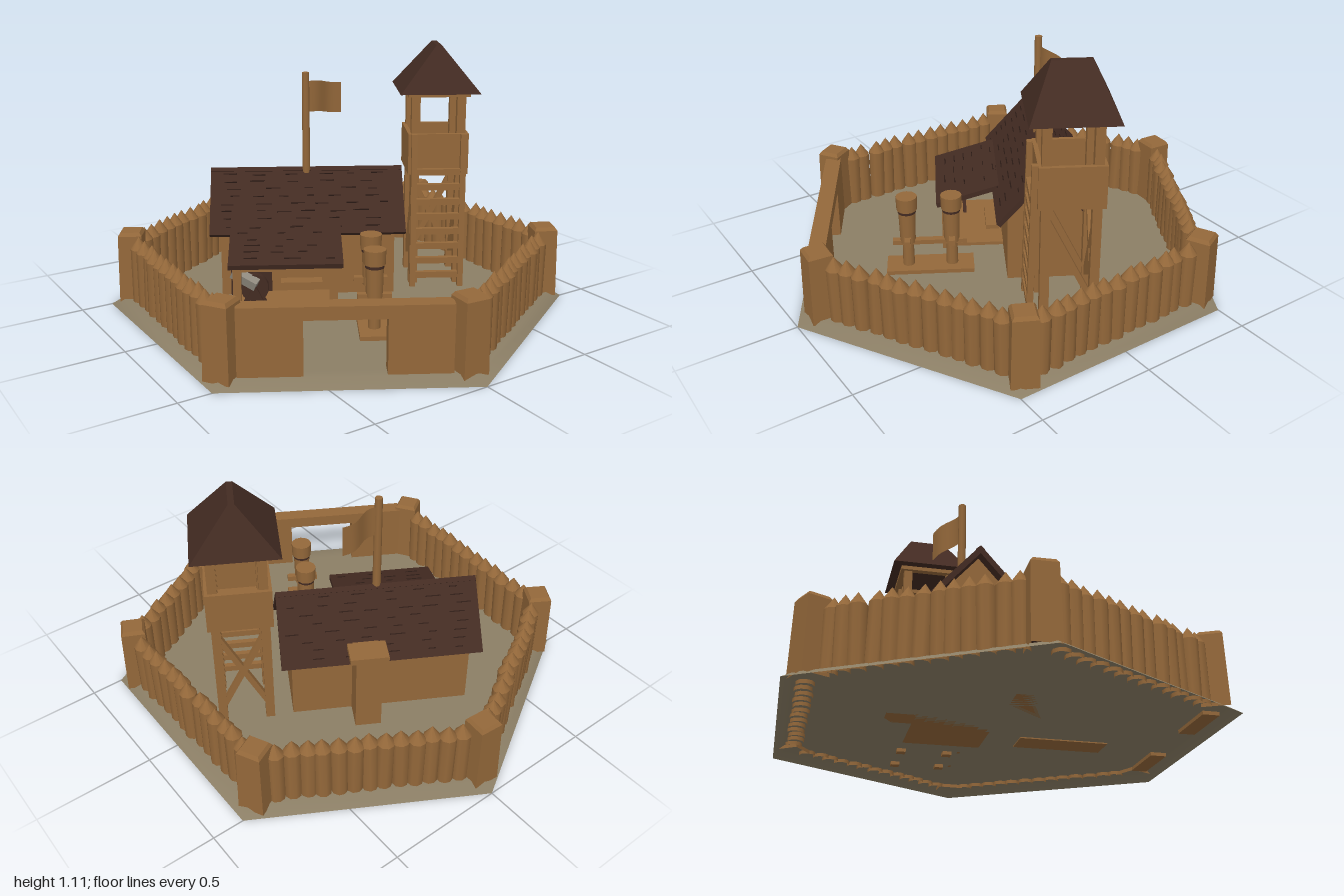
import * as THREE from 'three';
import { mergeGeometries } from 'three/addons/utils/BufferGeometryUtils.js';

const material = (name, color, extra = {}) => {
  const m = new THREE.MeshStandardMaterial({ color, ...extra });
  m.name = name;
  return m;
};

export function createModel() {
  const wood = material('wood', 0x94683a);
  const cloth = material('cloth', 0x94683a, { side: THREE.DoubleSide });
  const roofing = material('roofing', 0x432b22);
  const gap = material('shingleGap', 0x2d1c16);
  const earth = material('earth', 0x8b7e65, { side: THREE.DoubleSide });
  const stone = material('stone', 0x918b80);

  let seed = 7;
  const rnd = () => (seed = (seed * 16807) % 2147483647) / 2147483647;
  const jitter = (a) => (rnd() - 0.5) * 2 * a;

  const model = new THREE.Group();
  model.name = 'fort';
  const group = (name, x, z, ry) => {
    const g = new THREE.Group();
    g.name = name;
    g.position.set(x, 0, z);
    g.rotation.y = ry;
    model.add(g);
    return g;
  };
  const add = (parent, name, geo, mat, x = 0, y = 0, z = 0) => {
    const m = new THREE.Mesh(geo, mat);
    m.name = name;
    m.position.set(x, y, z);
    parent.add(m);
    return m;
  };
  const flat = (geo) => {
    const g = geo.toNonIndexed();
    g.computeVertexNormals();
    return g;
  };
  // box given by its lower and upper limits
  const box = (parent, name, mat, x0, x1, y0, y1, z0, z1) =>
    add(parent, name, new THREE.BoxGeometry(x1 - x0, y1 - y0, z1 - z0), mat,
      (x0 + x1) / 2, (y0 + y1) / 2, (z0 + z1) / 2);
  // square beam between two points
  const beam = (parent, name, a, b, w, mat = wood) => {
    const p = new THREE.Vector3(...a), q = new THREE.Vector3(...b);
    const m = add(parent, name, new THREE.BoxGeometry(w, p.distanceTo(q), w), mat);
    m.position.copy(p).lerp(q, 0.5);
    m.quaternion.setFromUnitVectors(new THREE.Vector3(0, 1, 0), q.sub(p).normalize());
    return m;
  };
  const TURN = -Math.PI / 6;

  // ground: a shallow hexagonal shell, open underneath
  const rim = [[1, 0], [0.95, 0.03], [0.88, 0.03], [0, 0.03]].map((p) => new THREE.Vector2(...p));
  add(model, 'ground', new THREE.LatheGeometry(rim, 6), earth);

  // corner posts and palisade walls
  const corners = [[0, 0.89], [0.795, 0.44], [0.77, -0.465], [-0.015, -0.9], [-0.765, -0.48], [-0.79, 0.44]]
    .map(([x, z]) => new THREE.Vector3(x, 0, z));
  corners.forEach((c, i) => {
    const post = group('cornerPost', c.x, c.z, i * Math.PI / 3 + jitter(0.08));
    const part = (top, bottom, h, open) =>
      flat(new THREE.CylinderGeometry(top, bottom, h, 4, 1, open).rotateY(Math.PI / 4));
    add(post, 'postShaft', part(0.072, 0.079, 0.3, true), wood, 0, 0.165, 0);
    add(post, 'postCap', part(0.058, 0.072, 0.015, false), wood, 0, 0.3225, 0);
    if (i === 5) return; // the gate side
    const next = corners[i + 1];
    const count = 13;
    for (let k = 0; k < count; k++) {
      const p = c.clone().lerp(next, 0.09 + 0.82 * k / (count - 1));
      const log = group('palisadeLog', p.x + jitter(0.005), p.z + jitter(0.005), rnd() * 6);
      log.rotation.x = jitter(0.02);
      log.rotation.z = jitter(0.02);
      add(log, 'logTrunk', new THREE.CylinderGeometry(0.037, 0.035, 0.252, 9, 1, true), wood, 0, 0.141, 0);
      add(log, 'logTip', new THREE.ConeGeometry(0.037, 0.055, 9, 1, true), wood, 0, 0.2945, 0);
    }
  });

  // gate wall
  const gate = group('gateWall', -0.4, 0.665, TURN);
  box(gate, 'gatePanel', wood, -0.4, -0.155, 0.015, 0.303, -0.035, 0.035);
  box(gate, 'gatePanel', wood, 0.155, 0.4, 0.015, 0.303, -0.035, 0.035);
  box(gate, 'gateLintel', wood, -0.155, 0.155, 0.25, 0.303, -0.035, 0.035);

  // hall with gabled walls
  const hall = group('hall', -0.03, -0.215, TURN);
  const gable = new THREE.Shape();
  [[-0.165, 0.03], [0.165, 0.03], [0.165, 0.36], [0, 0.545], [-0.165, 0.36]]
    .forEach(([x, y], i) => (i ? gable.lineTo(x, y) : gable.moveTo(x, y)));
  const wallGeo = new THREE.ExtrudeGeometry(gable, { depth: 0.76, bevelEnabled: false });
  wallGeo.translate(0, 0, -0.38).rotateY(Math.PI / 2);
  add(hall, 'hallWalls', wallGeo, wood);
  box(hall, 'doorway', roofing, -0.34, -0.16, 0.03, 0.25, 0.165, 0.172);

  // sloped roof slab with staggered shingle gaps; points are [z, y] with z rising
  const slope = (parent, x0, x1, a, b, rows) => {
    const dz = b[0] - a[0], dy = b[1] - a[1], len = Math.hypot(dz, dy), w = x1 - x0;
    const g = new THREE.Group();
    g.name = 'roofSlope';
    g.position.set((x0 + x1) / 2, (a[1] + b[1]) / 2, (a[0] + b[0]) / 2);
    g.rotation.x = Math.atan2(-dy, dz);
    parent.add(g);
    box(g, 'roofSlab', roofing, -w / 2, w / 2, -0.022, 0, -len / 2, len / 2);
    const dashes = [];
    for (let r = 1; r < rows; r++) {
      for (let x = -w / 2 + 0.05 + rnd() * 0.06; x < w / 2 - 0.05; x += 0.1 + rnd() * 0.08) {
        dashes.push(new THREE.BoxGeometry(0.03 + rnd() * 0.04, 0.003, 0.0045)
          .translate(x, 0.001, -len / 2 + len * r / rows + jitter(0.004)));
      }
    }
    add(g, 'shingleGaps', mergeGeometries(dashes), gap);
  };
  slope(hall, -0.425, 0.425, [0, 0.57], [0.215, 0.325], 9);
  slope(hall, -0.425, 0.425, [-0.215, 0.325], [0, 0.57], 9);

  // porch
  slope(hall, -0.335, 0.14, [0.16, 0.365], [0.465, 0.275], 7);
  box(hall, 'porchDeck', wood, -0.3, 0.1, 0.03, 0.045, 0.165, 0.42);
  for (const x of [-0.3, 0.1]) box(hall, 'porchPost', wood, x - 0.017, x + 0.017, 0.03, 0.265, 0.405, 0.44);
  box(hall, 'porchBeam', wood, -0.32, 0.12, 0.235, 0.26, 0.41, 0.435);
  box(hall, 'bench', wood, -0.12, 0.06, 0.09, 0.11, 0.18, 0.24);

  // grindstone wheel and blade on the porch
  const wheel = new THREE.CylinderGeometry(0.06, 0.06, 0.03, 14).rotateX(Math.PI / 2);
  add(hall, 'grindWheel', wheel, roofing, -0.23, 0.14, 0.36);
  for (const z of [0.33, 0.39]) {
    beam(hall, 'grinderLeg', [-0.28, 0.045, z], [-0.23, 0.15, z], 0.015, roofing);
    beam(hall, 'grinderLeg', [-0.18, 0.045, z], [-0.23, 0.15, z], 0.015, roofing);
  }
  beam(hall, 'blade', [-0.32, 0.21, 0.36], [-0.22, 0.16, 0.39], 0.04, stone);

  // chimney
  box(hall, 'chimneyStack', wood, 0.015, 0.125, 0.03, 0.4, -0.28, -0.165);
  box(hall, 'chimneyCap', wood, -0.01, 0.15, 0.388, 0.415, -0.29, -0.185);

  // flagpole and rippling flag
  const flagpole = group('flagpole', -0.035, -0.21, 0);
  add(flagpole, 'pole', new THREE.CylinderGeometry(0.016, 0.018, 0.45, 8), wood, 0, 0.77, 0);
  const flagGeo = new THREE.PlaneGeometry(0.175, 0.137, 12, 1);
  const fp = flagGeo.attributes.position;
  for (let i = 0; i < fp.count; i++) {
    const t = fp.getX(i) / 0.175 + 0.5;
    fp.setZ(i, 0.008 * Math.sin(t * 7) - 0.012 * t);
    fp.setY(i, fp.getY(i) - 0.02 * t + 0.004 * Math.sin(t * 6));
  }
  flagGeo.computeVertexNormals();
  add(flagpole, 'flag', flagGeo, cloth, 0.1, 0.887, 0);

  // watchtower
  const tower = group('watchtower', 0.5, 0.025, TURN);
  for (const x of [-0.1, 0.1]) for (const z of [-0.1, 0.1])
    box(tower, 'towerPost', wood, x - 0.019, x + 0.019, 0.015, 0.91, z - 0.019, z + 0.019);
  box(tower, 'towerFloor', wood, -0.13, 0.13, 0.545, 0.565, -0.13, 0.13);
  for (const s of [-1, 1]) {
    add(tower, 'parapet', new THREE.BoxGeometry(0.266, 0.182, 0.018), wood, 0, 0.637, s * 0.124);
    add(tower, 'parapet', new THREE.BoxGeometry(0.018, 0.182, 0.266), wood, s * 0.124, 0.637, 0);
    beam(tower, 'crossBrace', [s * 0.1, 0.1, -0.1], [s * 0.1, 0.5, 0.1], 0.024);
    beam(tower, 'crossBrace', [-s * 0.1, 0.1, -0.1], [s * 0.1, 0.5, -0.1], 0.024);
    add(tower, 'topBeam', new THREE.BoxGeometry(0.27, 0.02, 0.03), wood, 0, 0.902, s * 0.12);
    add(tower, 'topBeam', new THREE.BoxGeometry(0.03, 0.02, 0.27), wood, s * 0.12, 0.902, 0);
    beam(tower, 'ladderRail', [s * 0.108, 0.03, 0.158], [s * 0.108, 0.73, 0.143], 0.025);
  }
  for (let i = 0; i < 8; i++) {
    const y = 0.085 + i * 0.068;
    add(tower, 'ladderRung', new THREE.BoxGeometry(0.2, 0.028, 0.022), wood, 0, y, 0.158 - y * 0.02);
  }
  // hipped roof: a box whose top is drawn in to a short ridge
  const hip = new THREE.BoxGeometry(0.35, 0.2, 0.35);
  const hp = hip.attributes.position;
  for (let i = 0; i < hp.count; i++) if (hp.getY(i) > 0) {
    hp.setX(i, Math.sign(hp.getX(i)) * 0.012);
    hp.setZ(i, Math.sign(hp.getZ(i)) * 0.08);
  }
  add(tower, 'towerRoof', flat(hip), roofing, 0, 1.01, 0);

  // practice dummies on a shared base
  const yard = group('practiceYard', -0.055, 0.342, TURN);
  box(yard, 'yardBase', wood, -0.064, 0.064, 0.025, 0.048, -0.19, 0.19);
  for (const z of [-0.095, 0.095]) {
    add(yard, 'dummyPost', new THREE.CylinderGeometry(0.024, 0.026, 0.14, 10), wood, 0, 0.1, z);
    add(yard, 'dummyBody', new THREE.CylinderGeometry(0.037, 0.033, 0.15, 12), wood, 0, 0.235, z);
    add(yard, 'dummyCollar', new THREE.CylinderGeometry(0.039, 0.039, 0.014, 12), roofing, 0, 0.312, z);
    add(yard, 'dummyHead', new THREE.CylinderGeometry(0.046, 0.044, 0.062, 12), wood, 0, 0.35, z);
    box(yard, 'dummyArm', wood, -0.07, 0.07, 0.17, 0.195, z - 0.013, z + 0.013);
  }
  box(yard, 'yardRail', wood, -0.015, 0.015, 0.15, 0.17, -0.16, 0.16);

  return model;
}
